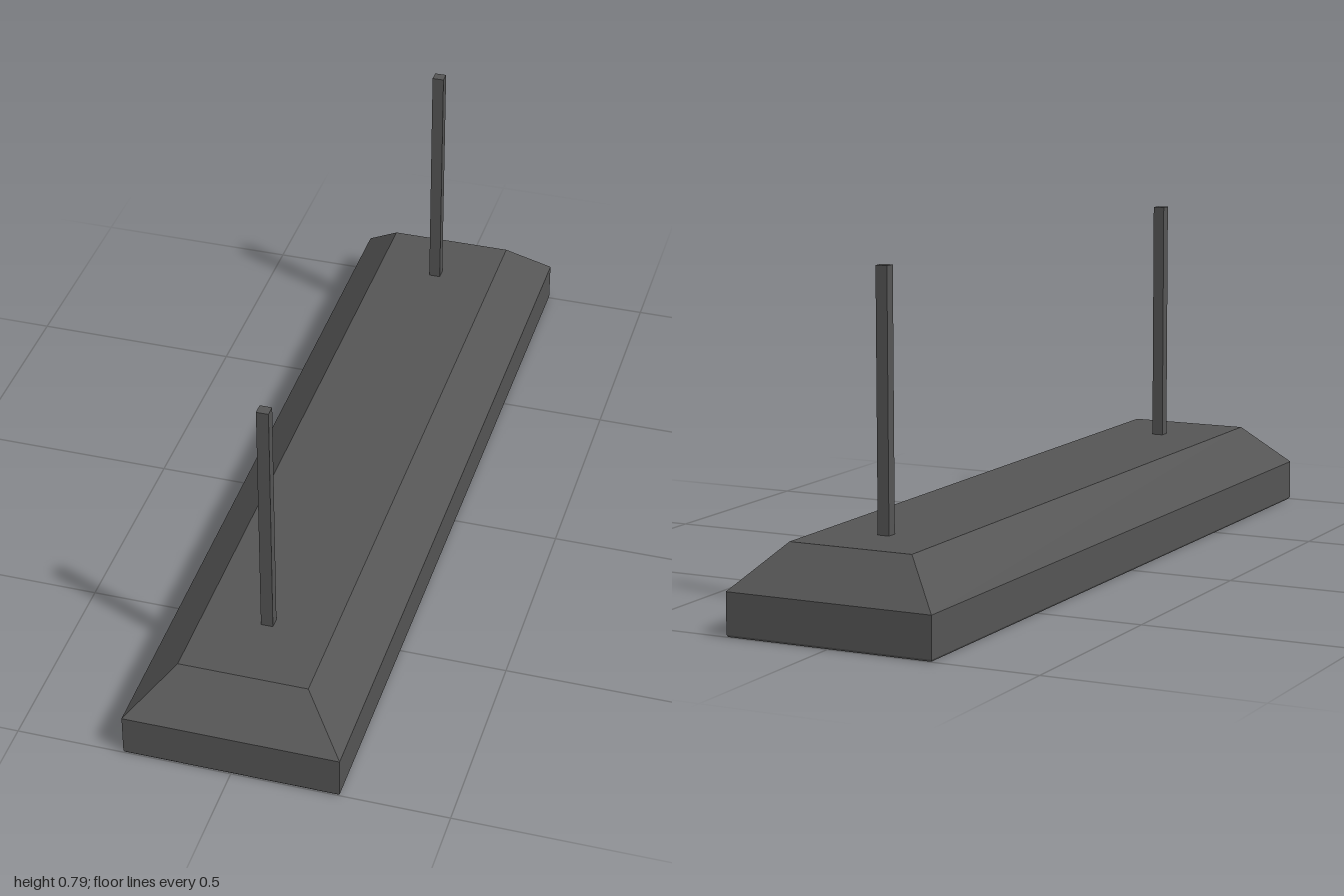
import * as THREE from 'three';

const dark = new THREE.MeshStandardMaterial({ color: 0x555555, flatShading: true, side: THREE.DoubleSide });
const light = new THREE.MeshStandardMaterial({ color: 0xcccccc });

function addMesh(parent, name, geometry, material, x = 0, y = 0, z = 0) {
  const mesh = new THREE.Mesh(geometry, material);
  mesh.name = name;
  mesh.position.set(x, y, z);
  parent.add(mesh);
  return mesh;
}

// Surface through rows of points; neighbouring rows are joined by quads
function skin(rows) {
  const pos = [];
  for (let i = 0; i < rows.length - 1; i++) {
    for (let j = 0; j < rows[i].length - 1; j++) {
      const a = rows[i][j], b = rows[i][j + 1], c = rows[i + 1][j + 1], d = rows[i + 1][j];
      pos.push(...a, ...b, ...c, ...a, ...c, ...d);
    }
  }
  const g = new THREE.BufferGeometry();
  g.setAttribute('position', new THREE.Float32BufferAttribute(pos, 3));
  g.computeVertexNormals();
  return g;
}

// Closed horizontal rectangle, anticlockwise seen from above
const ring = (hx, hz, y) => [[hx, y, hz], [hx, y, -hz], [-hx, y, -hz], [-hx, y, hz], [hx, y, hz]];

export function createModel() {
  const model = new THREE.Group();
  model.name = 'hangingTubeLight';

  // Housing: inner wall, bottom rim, upright sides, sloped shoulders, flat top
  addMesh(model, 'housing', skin([
    ring(0.2, 0.95, 0.08),
    ring(0.2, 0.95, 0),
    ring(0.247, 0.997, 0),
    ring(0.25, 1, 0.005),
    ring(0.25, 1, 0.1),
    ring(0.15, 0.9, 0.2),
    ring(0, 0, 0.2),
  ]), dark);

  // Reflector: two sloped troughs with a flat divider between them
  const profile = [[-0.2, 0.01], [-0.155, 0.06], [-0.065, 0.06], [-0.02, 0.01],
    [0.02, 0.01], [0.065, 0.06], [0.155, 0.06], [0.2, 0.01]];
  addMesh(model, 'reflector', skin([-0.95, 0.95].map((z) => profile.map(([x, y]) => [x, y, z]))), dark);

  // Tubes with a socket at each end
  for (const x of [-0.11, 0.11]) {
    const tube = new THREE.CylinderGeometry(0.022, 0.022, 1.84, 24);
    tube.rotateX(Math.PI / 2);
    addMesh(model, 'lightTube', tube, light, x, 0.03, 0);
    for (const s of [-1, 1]) {
      addMesh(model, 'tubeSocket', new THREE.BoxGeometry(0.05, 0.05, 0.03), dark, x, 0.035, s * 0.935);
    }
  }

  // Square hanging rods
  for (const z of [0.71, -0.742]) {
    addMesh(model, 'hangingRod', new THREE.BoxGeometry(0.028, 0.6, 0.026), dark, 0, 0.49, z);
  }
  return model;
}
